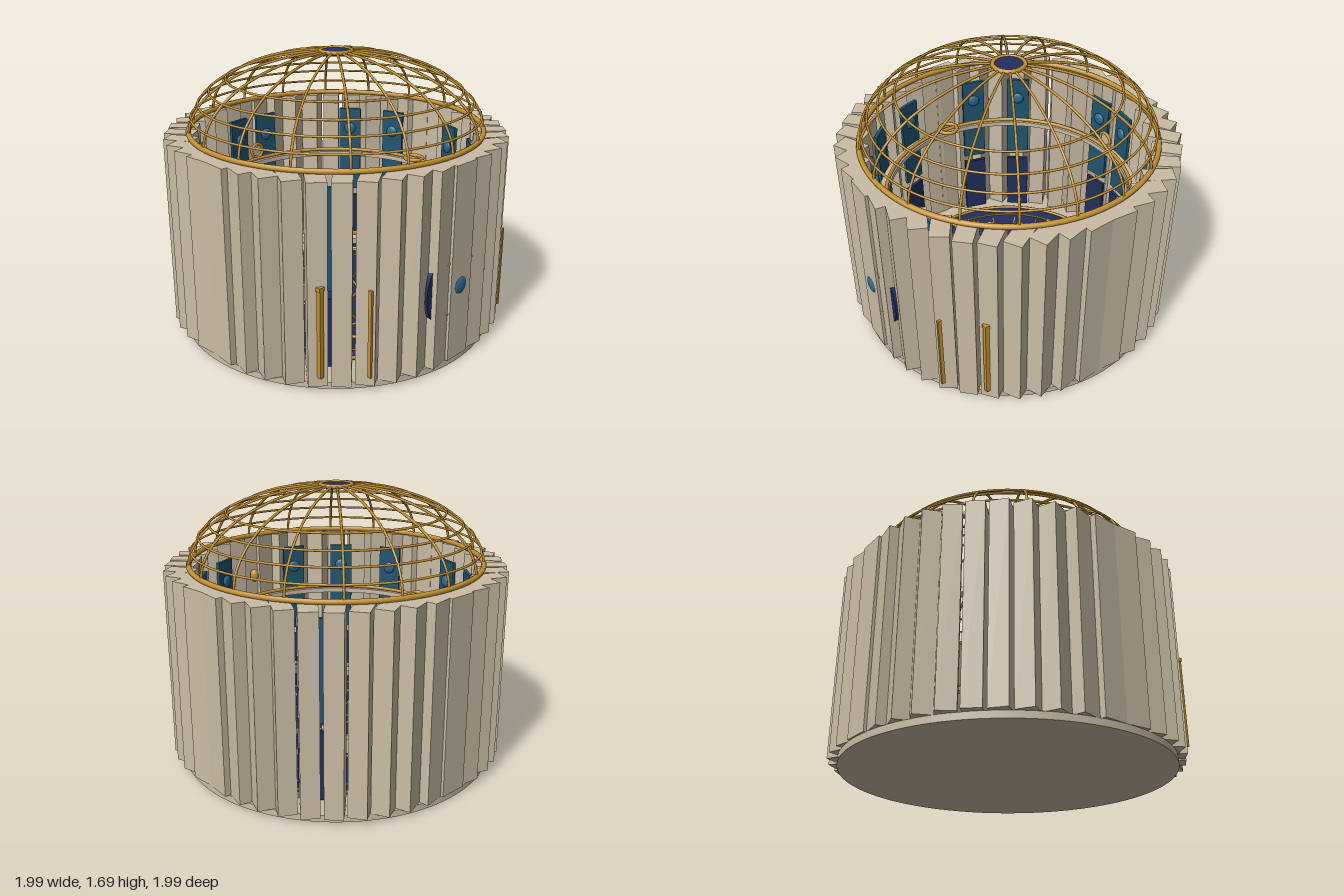
import * as THREE from 'three';

const mat = (name, color, side = THREE.FrontSide) => {
  const m = new THREE.MeshStandardMaterial({ color, side });
  m.name = name;
  return m;
};

export function createModel() {
  const root = new THREE.Group();
  root.name = 'rotunda';
  const stone = mat('stone', 0xcabda5);
  const gold = mat('gold', 0xc4922e);
  const navy = mat('navy', 0x20305e, THREE.DoubleSide);
  const blue = mat('blue', 0x2b6a90);
  const teal = mat('teal', 0x1f5672);

  const add = (name, geo, m, x = 0, y = 0, z = 0, parent = root) => {
    const mesh = new THREE.Mesh(geo, m);
    mesh.name = name;
    mesh.position.set(x, y, z);
    parent.add(mesh);
    return mesh;
  };
  const group = (name) => {
    const g = new THREE.Group();
    g.name = name;
    root.add(g);
    return g;
  };
  // Horizontal hoop
  const hoop = (name, r, tube, x, y, z, parent = root, seg = 72) =>
    add(name, new THREE.TorusGeometry(r, tube, 8, seg).rotateX(Math.PI / 2), gold, x, y, z, parent);
  // Flat ring with thickness, optionally only an arc
  const flatRing = (rIn, rOut, h, start = 0, end = Math.PI * 2) => {
    const s = new THREE.Shape();
    if (end - start < 6.28) {
      s.absarc(0, 0, rOut, start, end, false);
      s.absarc(0, 0, rIn, end, start, true);
    } else {
      s.absarc(0, 0, rOut, 0, Math.PI * 2, false);
      s.holes.push(new THREE.Path().absarc(0, 0, rIn, 0, Math.PI * 2, true));
    }
    return new THREE.ExtrudeGeometry(s, { depth: h, bevelEnabled: false, curveSegments: 48 }).rotateX(-Math.PI / 2);
  };

  // Base and floor
  add('base', new THREE.CylinderGeometry(0.98, 0.98, 0.04, 96), stone, 0, 0.02, 0);
  add('floor', new THREE.CylinderGeometry(0.76, 0.76, 0.01, 72), navy, 0, 0.045, 0);

  // Louvred wall: each slab is turned against its place on the ring
  const wall = group('wall');
  const slabGeo = new THREE.BoxGeometry(0.178, 1.172, 0.108);
  for (let i = 0; i < 42; i++) {
    const a = (i / 42) * Math.PI * 2;
    add('wallSlab', slabGeo, stone, 0.935 * Math.sin(a), 0.626, 0.935 * Math.cos(a), wall).rotation.y = -a;
  }

  // Wall panels inside
  const panels = group('innerPanels');
  const panelGeo = new THREE.BoxGeometry(0.15, 0.6, 0.02);
  const lowGeo = new THREE.BoxGeometry(0.15, 0.42, 0.02);
  for (const deg of [21, 45, 70, 106, 128, 172]) {
    for (const s of [-1, 1]) {
      const a = (s * deg * Math.PI) / 180;
      const x = 0.825 * Math.sin(a), z = 0.825 * Math.cos(a);
      add('upperPanel', panelGeo, teal, x, 0.82, z, panels).rotation.y = a;
      add('lowerPanel', lowGeo, navy, x, 0.26, z, panels).rotation.y = a;
      const b = add('panelBoss', new THREE.SphereGeometry(0.04, 16, 10), blue, x * 0.98, 0.98, z * 0.98, panels);
      b.scale.z = 0.4;
      b.rotation.y = a;
    }
  }

  // Gallery ledge with its rail
  add('galleryLedge', flatRing(0.75, 0.81, 0.03), stone, 0, 0.79, 0);
  hoop('galleryRail', 0.765, 0.012, 0, 0.835, 0);
  for (const s of [-1, 1]) hoop('galleryRing', 0.06, 0.013, s * 0.76, 0.84, 0, root, 32);
  add('backDialFace', new THREE.CylinderGeometry(0.045, 0.045, 0.01, 32).rotateX(Math.PI / 2), stone, 0, 0.89, -0.775);
  add('backDialRing', new THREE.TorusGeometry(0.047, 0.01, 8, 32), gold, 0, 0.89, -0.77);
  add('frontBoss', new THREE.SphereGeometry(0.03, 16, 12), gold, 0, 0.95, 0.84).scale.y = 1.5;

  // Floor inlay
  const inlay = group('floorInlay');
  hoop('inlayRing', 0.67, 0.006, 0, 0.053, 0, inlay);
  hoop('floorEdge', 0.755, 0.01, 0, 0.053, 0, inlay);
  for (let i = 0; i < 24; i++) {
    const a = ((i + 0.5) / 24) * Math.PI * 2;
    add('inlaySpoke', new THREE.BoxGeometry(0.008, 0.006, 0.4), gold,
      0.43 * Math.sin(a), 0.053, 0.43 * Math.cos(a), inlay).rotation.y = a;
  }
  for (const s of [-1, 1]) {
    add('sideRail', new THREE.BoxGeometry(0.33, 0.04, 0.008), stone, s * 0.475, 0.07, -0.06, inlay);
    add('diagonalRail', new THREE.BoxGeometry(0.33, 0.04, 0.008), stone, s * 0.26, 0.07, 0.21, inlay).rotation.y = -s * 0.75;
  }

  // Round seats in an arc
  const seats = group('seats');
  for (let i = 0; i < 8; i++) {
    const a = ((i - 3.5) * 21.3 * Math.PI) / 180;
    const x = 0.59 * Math.sin(a), z = 0.59 * Math.cos(a);
    add('seat', new THREE.CylinderGeometry(0.075, 0.075, 0.08, 32), navy, x, 0.09, z, seats);
    hoop('seatRim', 0.078, 0.01, x, 0.13, z, seats, 32);
  }

  // Central desk, open to the front
  add('desk', flatRing(0.14, 0.19, 0.1, -Math.PI / 4, Math.PI * 1.25), stone, 0, 0.05, -0.14);
  hoop('deskInnerRing', 0.145, 0.008, 0, 0.155, -0.14);
  hoop('deskOuterRing', 0.24, 0.008, 0, 0.06, -0.14);

  // Front medallion set into the wall
  const disc = (r, h) => new THREE.CylinderGeometry(r, r, h, 48).rotateX(Math.PI / 2);
  add('medallionDisc', disc(0.265, 0.03), navy, 0, 0.49, 0.947);
  add('medallionRing', new THREE.TorusGeometry(0.18, 0.012, 10, 48), gold, 0, 0.49, 0.965);
  add('medallionBoss', new THREE.SphereGeometry(0.056, 32, 20), blue, 0, 0.49, 0.98).scale.z = 0.38;

  // Gilt posts at the two side entrances
  for (const s of [-1, 1]) {
    add('widePost', new THREE.BoxGeometry(0.026, 0.52, 0.026), gold, s * 0.78, 0.36, 0.665);
    add('widePostCap', new THREE.BoxGeometry(0.034, 0.022, 0.03), gold, s * 0.78, 0.63, 0.665);
    add('slimPost', new THREE.BoxGeometry(0.014, 0.52, 0.022), gold, s * 0.594, 0.36, 0.852);
  }

  // Open dome: elliptical ribs, hoops and the crown
  const dome = group('dome');
  const A = 0.89, B = 0.46, Y = 1.22;
  hoop('domeBaseRing', A, 0.016, 0, Y + 0.005, 0, dome, 96);
  for (const y of [1.31, 1.39, 1.46, 1.53]) {
    hoop('domeHoop', A * Math.sqrt(1 - ((y - Y) / B) ** 2), 0.007, 0, y, 0, dome, 96);
  }
  const pts = [];
  for (let i = 0; i <= 16; i++) {
    const t = (i / 16) * Math.acos(0.1 / A);
    pts.push(new THREE.Vector3(0, Y + B * Math.sin(t), A * Math.cos(t)));
  }
  const ribGeo = new THREE.TubeGeometry(new THREE.CatmullRomCurve3(pts), 32, 0.008, 6);
  for (let i = 0; i < 18; i++) add('domeRib', ribGeo, gold, 0, 0, 0, dome).rotation.y = (i / 18) * Math.PI * 2;
  hoop('crownRing', 0.093, 0.014, 0, 1.68, 0, dome, 48);
  add('crownDisc', new THREE.CylinderGeometry(0.088, 0.088, 0.012, 48), navy, 0, 1.68, 0, dome);

  return root;
}
